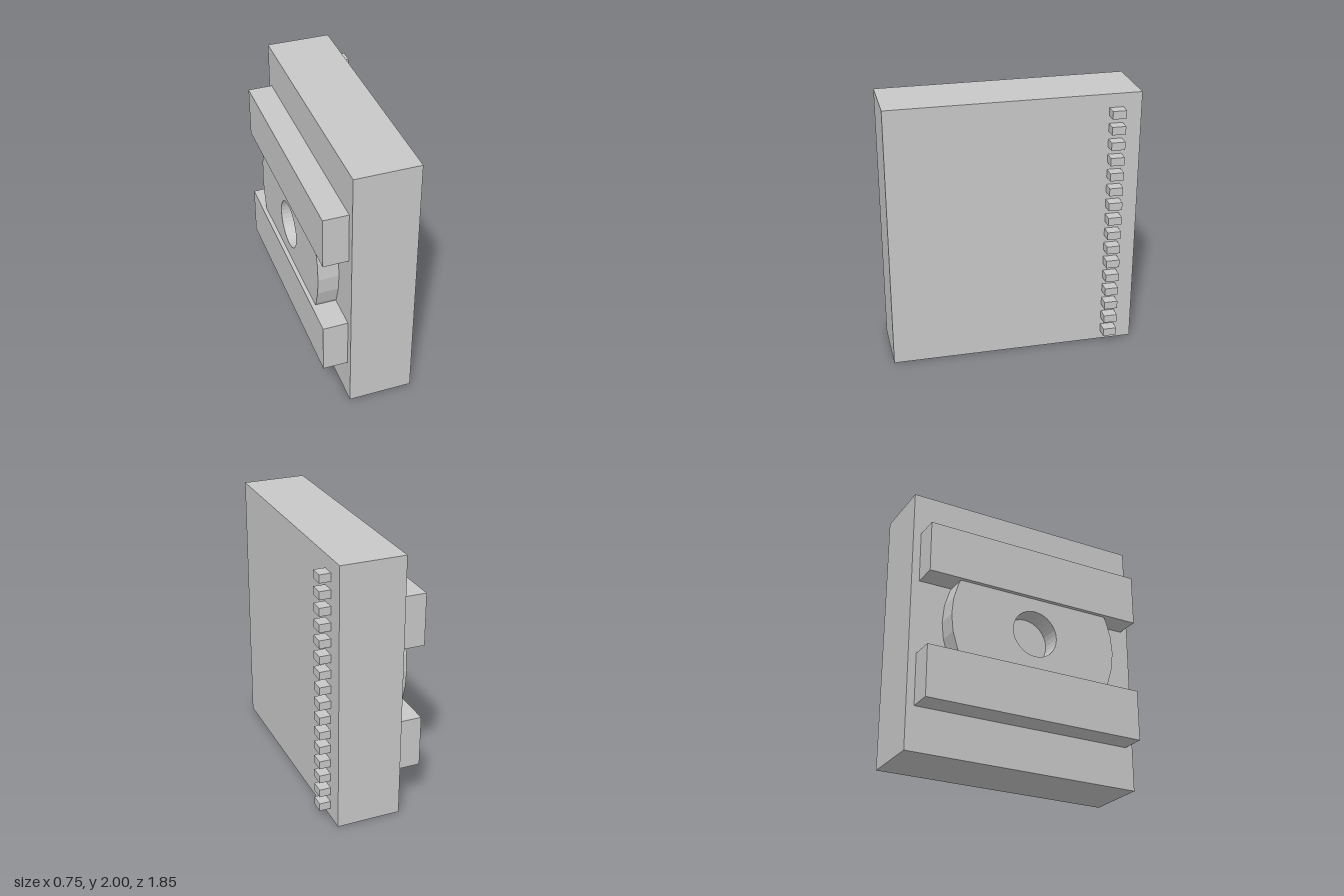
import * as THREE from 'three';

export function createModel() {
  const model = new THREE.Group();
  const grey = new THREE.MeshStandardMaterial({ color: 0xc8c8c8 });
  grey.name = 'light grey';

  // Box given by its extents along each axis
  function addBox(name, [x0, x1], [y0, y1], [z0, z1]) {
    const mesh = new THREE.Mesh(new THREE.BoxGeometry(x1 - x0, y1 - y0, z1 - z0), grey);
    mesh.position.set((x0 + x1) / 2, (y0 + y1) / 2, (z0 + z1) / 2);
    mesh.name = name;
    model.add(mesh);
  }

  // Main slab
  addBox('body', [-0.19, 0.288], [0, 2], [-0.923, 0.923]);

  // Two horizontal rails on the -x face
  addBox('lowerRail', [-0.375, -0.19], [0.328, 0.718], [-0.863, 0.863]);
  addBox('upperRail', [-0.375, -0.19], [1.287, 1.678], [-0.863, 0.863]);

  // Faceted disc with a round hole, held between the rails
  const ring = new THREE.Shape().absarc(0, 0, 0.673, 0, Math.PI * 2, false);
  ring.holes.push(new THREE.Path().absarc(0, 0, 0.18, 0, Math.PI * 2, true));
  const disc = new THREE.Mesh(
    new THREE.ExtrudeGeometry(ring, { depth: 0.155, bevelEnabled: false, curveSegments: 16 }),
    grey
  );
  disc.rotation.y = -Math.PI / 2;
  disc.position.set(-0.19, 1.003, 0);
  disc.name = 'disc';
  model.add(disc);

  // Column of small pins on the +x face
  const pins = 16;
  for (let i = 0; i < pins; i++) {
    const y = 0.098 + i * 0.118;
    addBox('pin' + (i + 1), [0.288, 0.372], [y - 0.03, y + 0.03], [-0.785, -0.684]);
  }

  return model;
}
